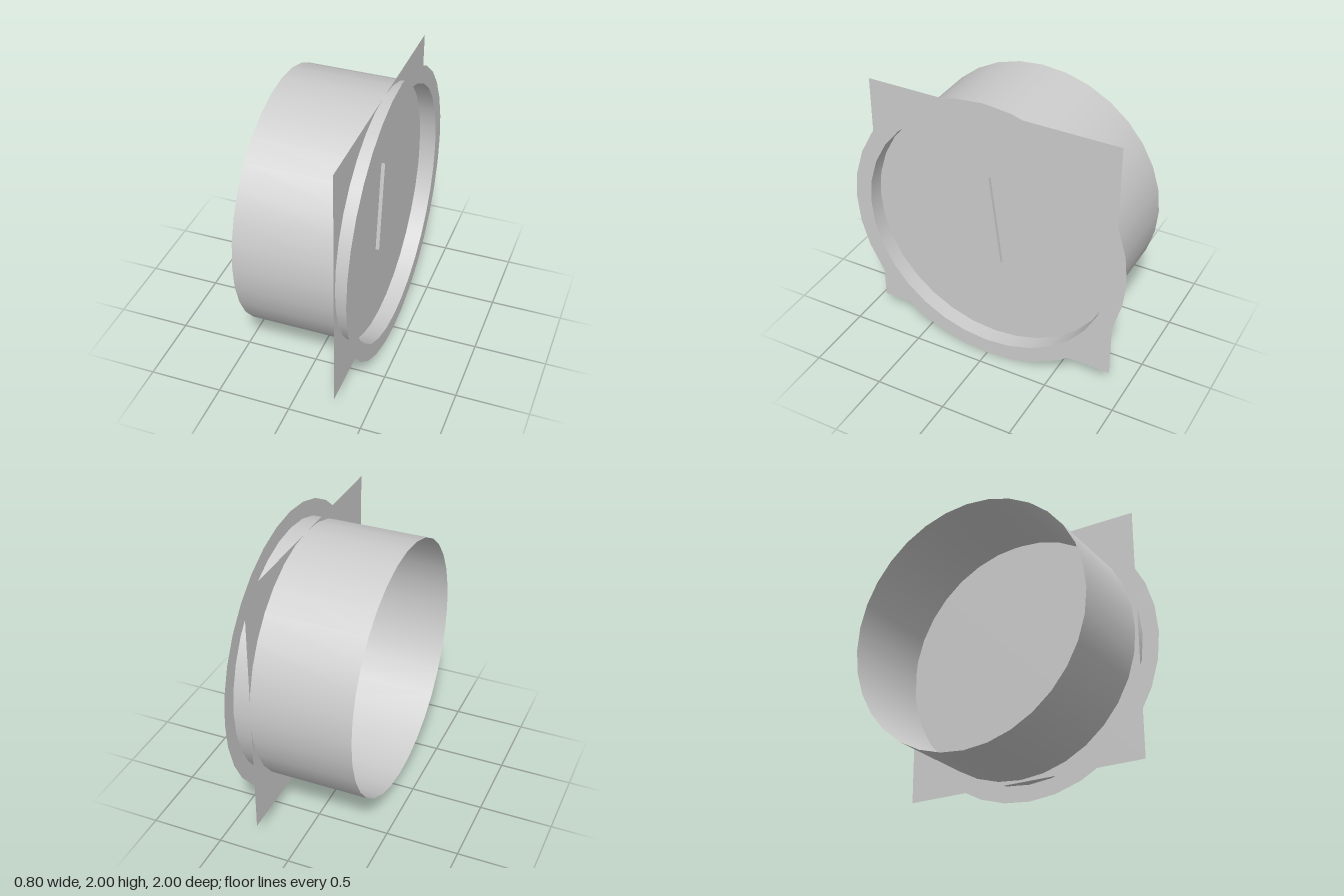
import * as THREE from 'three';

const SIDES = 32;
const OUTER = 1.0;
const INNER = 0.883;
const HALF_DEPTH = 0.4;
const PLATE_X = 0.285;

export function createModel() {
  const group = new THREE.Group();
  const grey = new THREE.MeshStandardMaterial({ color: 0xcccccc, side: THREE.DoubleSide });
  grey.name = 'light grey';

  const add = (name, geometry, x, y, z) => {
    const mesh = new THREE.Mesh(geometry, grey);
    mesh.name = name;
    mesh.position.set(x, y, z);
    group.add(mesh);
  };

  // Open drum lying along x
  const drum = new THREE.CylinderGeometry(INNER, INNER, HALF_DEPTH * 2, SIDES, 1, true);
  drum.rotateZ(-Math.PI / 2);
  add('drum', drum, 0, 1, 0);

  // Flat rim around the face end
  const rim = new THREE.RingGeometry(INNER, OUTER, SIDES);
  rim.rotateY(Math.PI / 2);
  add('rim', rim, HALF_DEPTH, 1, 0);

  // Square dial plate, set back from the rim and poking through the drum
  const plate = new THREE.PlaneGeometry(1.78, 1.78);
  plate.rotateY(Math.PI / 2);
  add('dialPlate', plate, PLATE_X, 0.99, 0.015);

  // Tapered needle standing on the plate
  const outline = new THREE.Shape([
    new THREE.Vector2(-0.083, 0.75),
    new THREE.Vector2(0.083, 0.75),
    new THREE.Vector2(0, 1.4),
  ]);
  const needle = new THREE.ExtrudeGeometry(outline, { depth: 0.025, bevelEnabled: false });
  needle.rotateY(Math.PI / 2);
  add('needle', needle, PLATE_X, 0, 0.018);

  return group;
}
